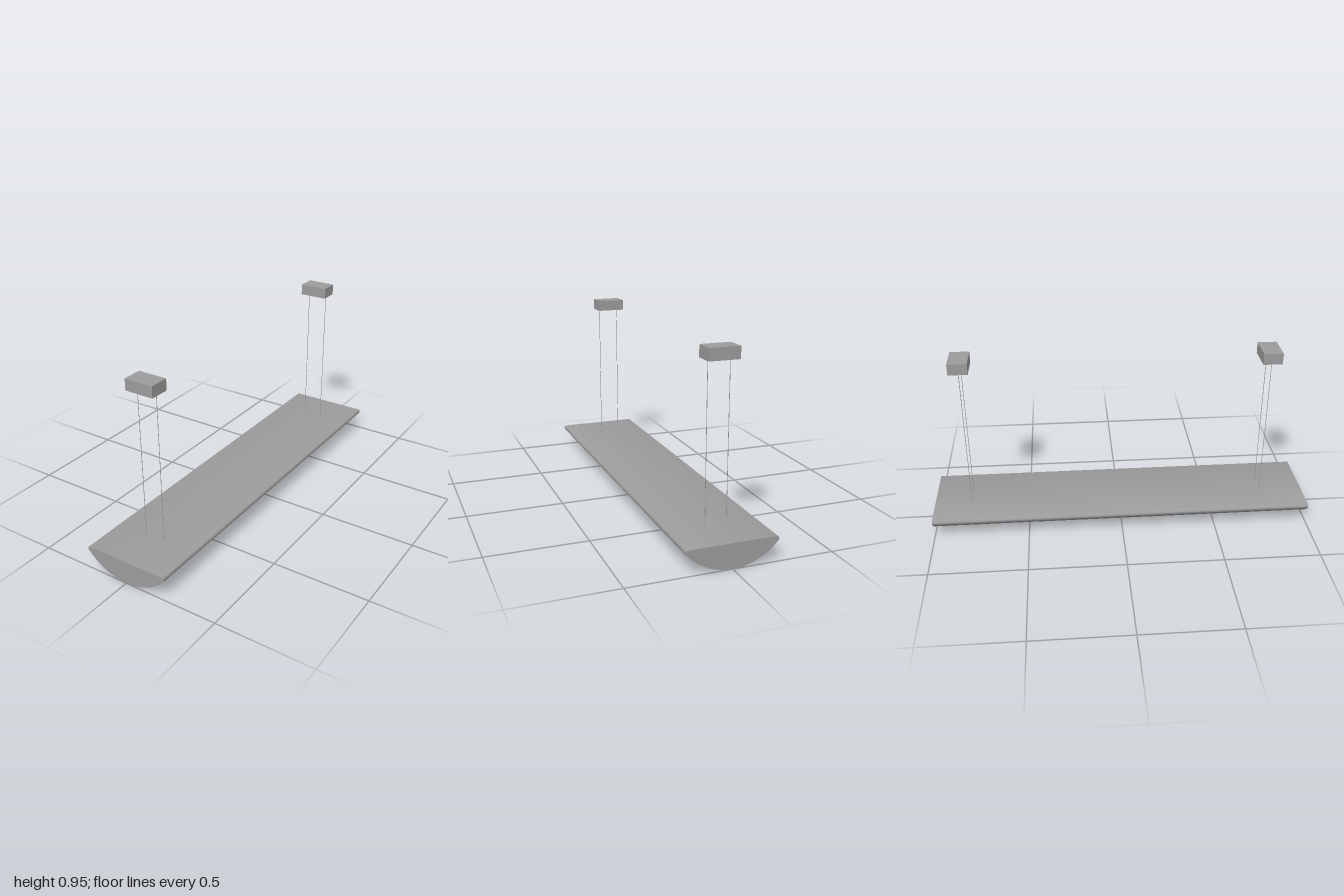
import * as THREE from 'three';
import { toCreasedNormals } from 'three/addons/utils/BufferGeometryUtils.js';

const metal = new THREE.MeshStandardMaterial({ color: 0x9c9c9c });
const lens = new THREE.MeshStandardMaterial({ color: 0xcccccc });
const R = 0.291;        // radius of the curved underside
const TOP = 0.122;      // flat top of the housing
const RECESS = 0.003;   // depth of the diffuser surface below the housing skin
const SLOT = 0.006;     // depth of the slot that holds the diffuser
const DOWN = -Math.PI / 2, HALF = 0.832, OPEN = 0.494; // arc angles

function add(parent, name, geometry, material, x = 0, y = 0, z = 0) {
  const mesh = new THREE.Mesh(geometry, material);
  mesh.name = name;
  mesh.position.set(x, y, z);
  parent.add(mesh);
}

// Half-moon cross-section, optionally with the slot for the diffuser
function housingShape(slotted) {
  const s = new THREE.Shape();
  s.moveTo(0.213, TOP);
  s.lineTo(-0.213, TOP);
  s.bezierCurveTo(-0.226, TOP, -0.229, 0.102, -0.215, 0.095);
  if (slotted) {
    s.absarc(0, R, R, DOWN - HALF, DOWN - OPEN, false);
    s.absarc(0, R, R - SLOT, DOWN - OPEN, DOWN + OPEN, false);
    s.absarc(0, R, R, DOWN + OPEN, DOWN + HALF, false);
  } else {
    s.absarc(0, R, R, DOWN - HALF, DOWN + HALF, false);
  }
  s.bezierCurveTo(0.229, 0.102, 0.226, TOP, 0.213, TOP);
  return s;
}

// Thin curved strip filling the slot
function diffuserShape() {
  const s = new THREE.Shape();
  s.absarc(0, R, R - RECESS, DOWN - OPEN, DOWN + OPEN, false);
  s.absarc(0, R, R - SLOT - 0.001, DOWN + OPEN, DOWN - OPEN, true);
  return s;
}

function extrudeZ(shape, z0, z1) {
  const g = new THREE.ExtrudeGeometry(shape, {
    depth: z1 - z0, bevelEnabled: false, curveSegments: 28,
  });
  g.translate(0, 0, z0);
  return toCreasedNormals(g, 0.5);
}

export function createModel() {
  const model = new THREE.Group();
  model.name = 'pendantLamp';

  // Housing: solid ends, slotted middle with the diffuser
  const body = new THREE.Group();
  body.name = 'housing';
  model.add(body);
  add(body, 'backEnd', extrudeZ(housingShape(false), -1, -0.96), metal);
  add(body, 'middleSection', extrudeZ(housingShape(true), -0.96, 0.88), metal);
  add(body, 'frontEnd', extrudeZ(housingShape(false), 0.88, 1), metal);
  add(body, 'diffuser', extrudeZ(diffuserShape(), -0.96, 0.88), lens);

  // Two ceiling mounts, each with a pair of suspension wires
  for (const [side, z] of [['back', -0.803], ['front', 0.767]]) {
    const mount = new THREE.Group();
    mount.name = side + 'Suspension';
    model.add(mount);
    add(mount, 'ceilingMount', new THREE.BoxGeometry(0.151, 0.058, 0.099), metal, -0.01, 0.924, z);
    for (const x of [-0.06, 0.047]) {
      add(mount, 'wire', new THREE.CylinderGeometry(0.0014, 0.0014, 0.9 - TOP + 0.004, 10), metal,
        x, (0.9 + TOP) / 2, z);
    }
  }
  return model;
}
